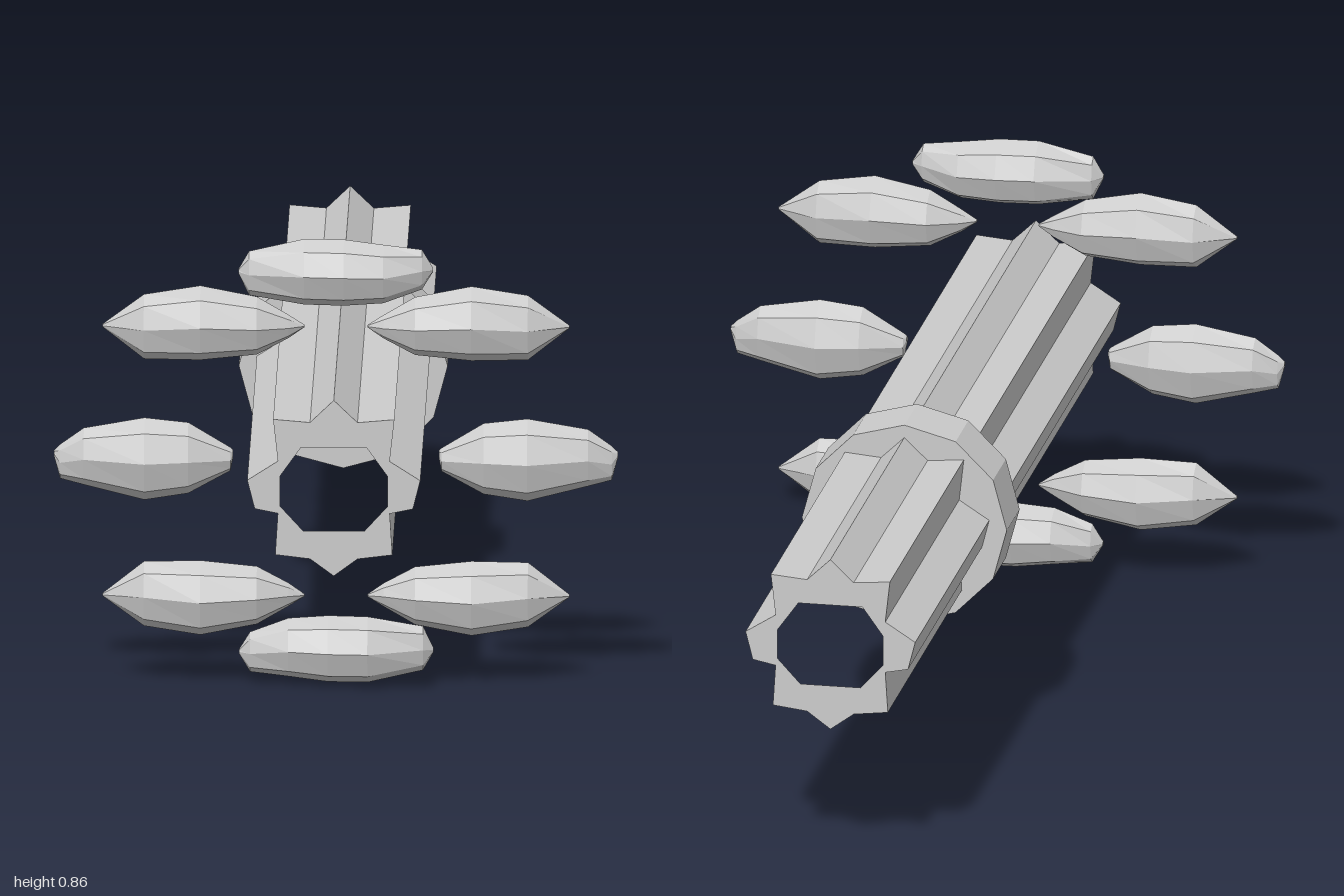
import * as THREE from 'three';

const material = new THREE.MeshStandardMaterial({ color: 0xcccccc, flatShading: true });
const AXIS_Y = 0.43;

function part(name, geometry) {
  const mesh = new THREE.Mesh(geometry, material);
  mesh.name = name;
  return mesh;
}

// Faceted pod lofted along x; stations are [x, top, bottom, half depth]
function podGeometry(stations, flipX, flipY) {
  const sides = 8;
  let list = stations.map(([x, top, bottom, w]) => [
    flipX ? -x : x,
    flipY ? 2 * AXIS_Y - bottom : top,
    flipY ? 2 * AXIS_Y - top : bottom,
    w,
  ]);
  if (flipX) list = list.reverse();
  const positions = [];
  const index = [];
  for (const [x, top, bottom, w] of list) {
    for (let j = 0; j < sides; j++) {
      const a = (j / sides) * Math.PI * 2;
      positions.push(x, (top + bottom) / 2 + ((top - bottom) / 2) * Math.cos(a), w * Math.sin(a));
    }
  }
  const last = (list.length - 1) * sides;
  for (let j = 0; j < sides; j++) {
    const k = (j + 1) % sides;
    for (let r = 0; r < last; r += sides) {
      index.push(r + j, r + k, r + sides + k, r + j, r + sides + k, r + sides + j);
    }
    // End caps
    index.push(0, k, j, last, last + j, last + k);
  }
  const geometry = new THREE.BufferGeometry();
  geometry.setAttribute('position', new THREE.Float32BufferAttribute(positions, 3));
  geometry.setIndex(index);
  const flat = geometry.toNonIndexed();
  flat.computeVertexNormals();
  return flat;
}

const sidePod = [
  [0.195, 0.45, 0.435, 0.008], [0.2, 0.455, 0.41, 0.018], [0.28, 0.503, 0.366, 0.048],
  [0.363, 0.512, 0.353, 0.057], [0.478, 0.492, 0.382, 0.035], [0.523, 0.46, 0.394, 0.015],
  [0.535, 0.448, 0.438, 0.005],
];
const diagonalPod = [
  [0.06, 0.693, 0.688, 0.004], [0.09, 0.712, 0.667, 0.02], [0.15, 0.747, 0.635, 0.047],
  [0.257, 0.768, 0.624, 0.057], [0.364, 0.751, 0.626, 0.04], [0.443, 0.693, 0.688, 0.004],
];
const topPod = [
  [-0.185, 0.8, 0.792, 0.005], [-0.165, 0.835, 0.75, 0.022], [-0.06, 0.859, 0.732, 0.055],
  [0.015, 0.858, 0.73, 0.057], [0.09, 0.848, 0.735, 0.048], [0.163, 0.839, 0.762, 0.022],
  [0.184, 0.804, 0.796, 0.005],
];

export function createModel() {
  const model = new THREE.Group();
  model.name = 'flutedShaft';

  // Fluted hollow shaft: half profile mirrored across x
  const half = [
    [0, 0.173], [0.045, 0.13], [0.115, 0.136], [0.106, 0.055], [0.164, 0.018],
    [0.15, -0.037], [0.106, -0.046], [0.111, -0.126], [0.045, -0.134], [0, -0.167],
  ];
  const holeHalf = [[0.062, 0.082], [0.102, 0.026], [0.102, -0.032], [0.058, -0.08]];
  const mirrored = (points) => [
    ...points,
    ...points.filter(([x]) => x > 0).reverse().map(([x, y]) => [-x, y]),
  ].map(([x, y]) => new THREE.Vector2(x, y));
  const profile = new THREE.Shape(mirrored(half));
  profile.holes.push(new THREE.Path(mirrored(holeHalf)));
  const shaft = part('shaft', new THREE.ExtrudeGeometry(profile, { depth: 2, bevelEnabled: false }));
  shaft.position.set(0, AXIS_Y, -1);
  model.add(shaft);

  // Twelve-sided collar closing the bore
  const collar = part('collar', new THREE.CylinderGeometry(0.198, 0.198, 0.125, 12).rotateX(Math.PI / 2));
  collar.position.set(0, AXIS_Y, -0.218);
  model.add(collar);

  // Circle of floating pods around the front end
  const pods = new THREE.Group();
  pods.name = 'podRing';
  pods.position.z = 0.728;
  for (const flipX of [false, true]) {
    const side = flipX ? 'right' : 'left';
    pods.add(part(side + 'Pod', podGeometry(sidePod, flipX, false)));
    pods.add(part(side + 'UpperPod', podGeometry(diagonalPod, flipX, false)));
    pods.add(part(side + 'LowerPod', podGeometry(diagonalPod, flipX, true)));
  }
  pods.add(part('topPod', podGeometry(topPod, false, false)));
  pods.add(part('bottomPod', podGeometry(topPod, true, true)));
  model.add(pods);

  return model;
}
